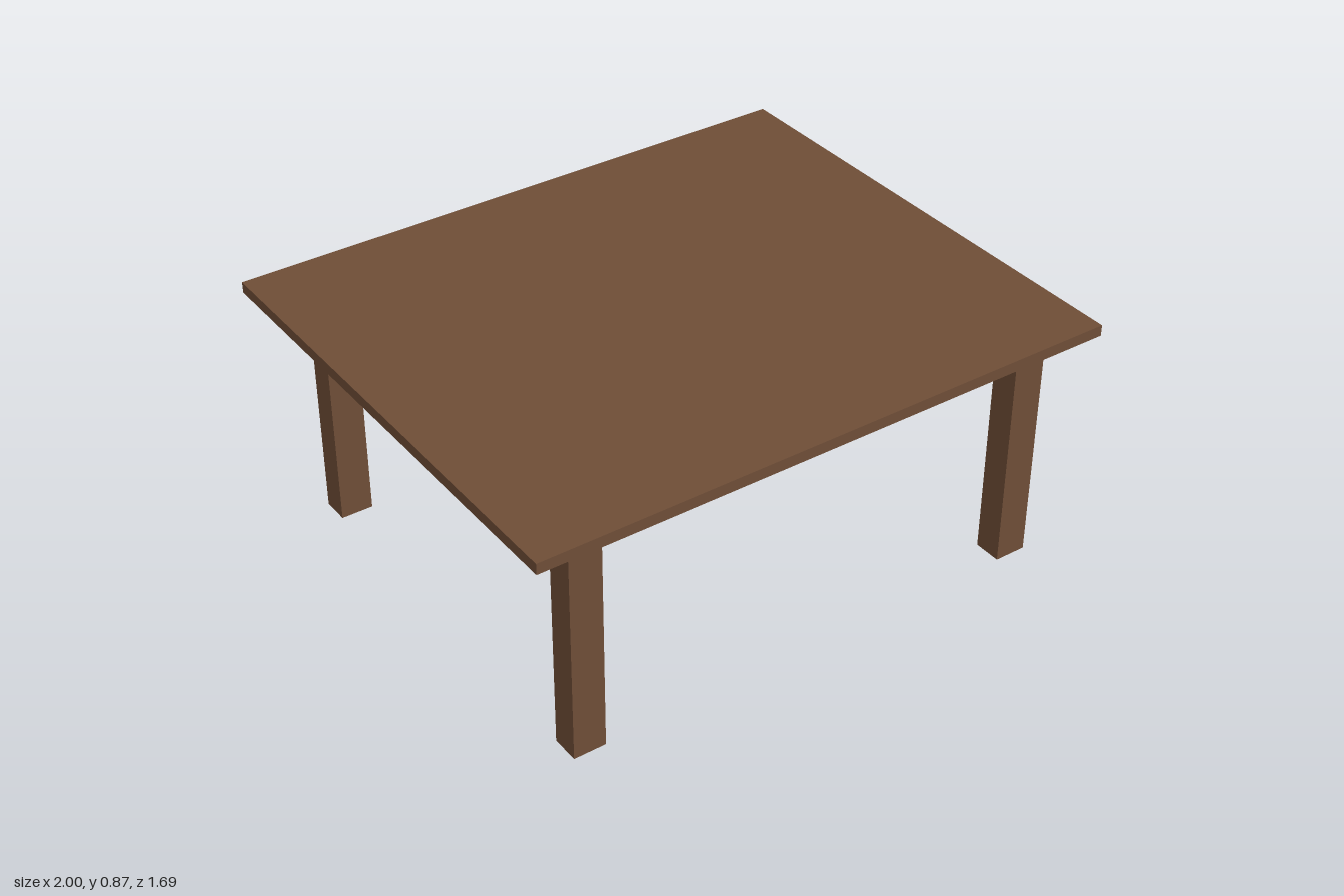
import * as THREE from 'three';

export function createModel() {
  const group = new THREE.Group();
  group.name = 'table';

  const wood = new THREE.MeshStandardMaterial({ color: 0x6f4e37 });
  wood.name = 'brown wood';

  const topHeight = 0.872, topThickness = 0.037;
  const legHeight = topHeight - topThickness;

  // Thin rectangular top
  const top = new THREE.Mesh(new THREE.BoxGeometry(2, topThickness, 1.692), wood);
  top.name = 'tableTop';
  top.position.y = topHeight - topThickness / 2;
  group.add(top);

  // Four square-cut legs, set slightly off centre under the top
  const legGeometry = new THREE.BoxGeometry(0.11, legHeight, 0.095);
  for (const [side, x] of [['Right', -0.773], ['Left', 0.837]]) {
    for (const [end, z] of [['front', 0.679], ['back', -0.71]]) {
      const leg = new THREE.Mesh(legGeometry, wood);
      leg.name = `${end}${side}Leg`;
      leg.position.set(x, legHeight / 2, z);
      group.add(leg);
    }
  }

  return group;
}
